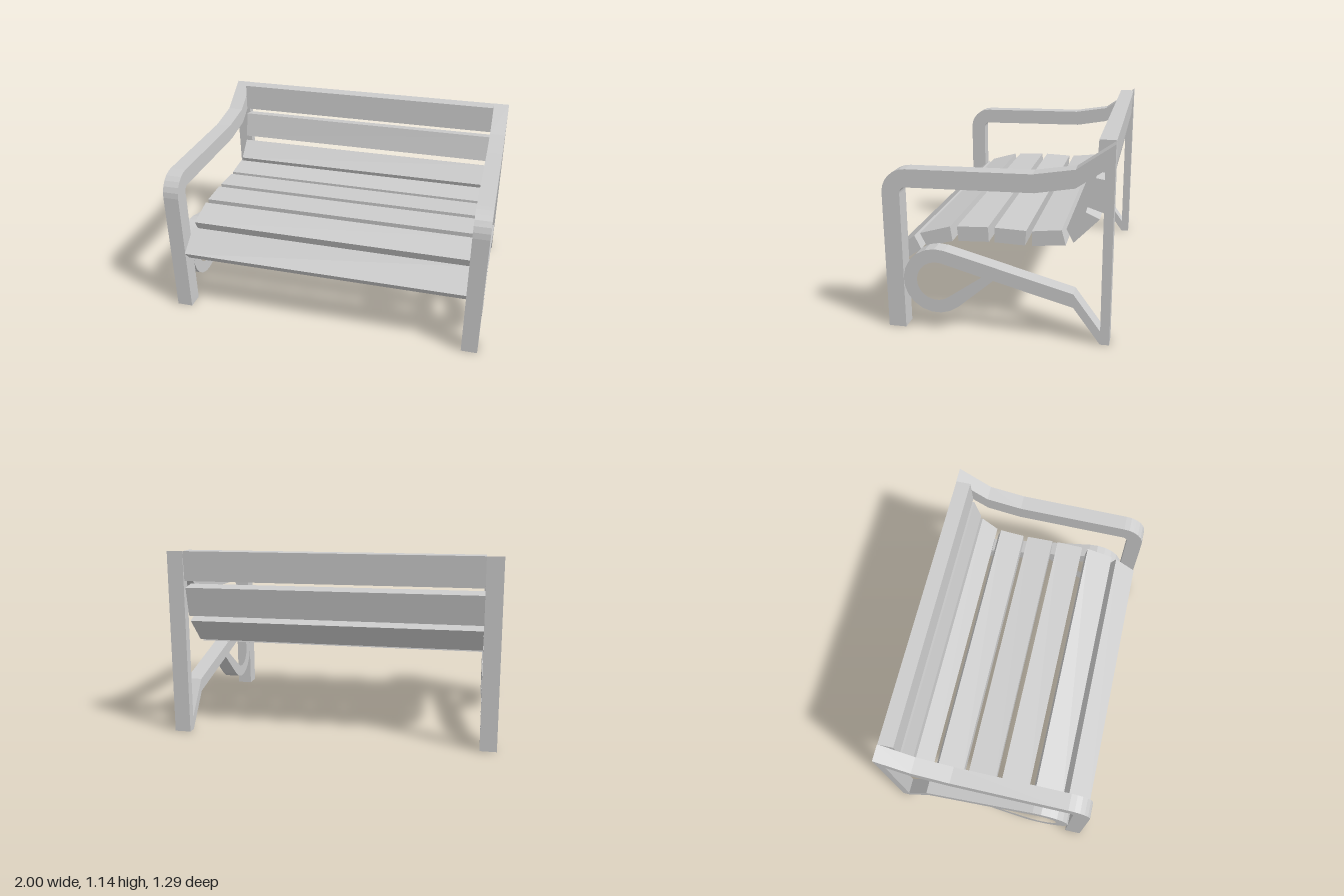
import * as THREE from 'three';

const material = new THREE.MeshStandardMaterial({ color: 0xcccccc, flatShading: true });
const SEAT_HALF = 0.9;   // inner face of the side frames
const FRAME_WIDTH = 0.1;

// Extrudes a (z, y) profile along x, starting at x0
function extrudeAcross(shape, x0, width, name, curveSegments = 4) {
  const geometry = new THREE.ExtrudeGeometry(shape, { depth: width, bevelEnabled: false, curveSegments });
  geometry.rotateY(-Math.PI / 2);
  geometry.translate(x0 + width, 0, 0);
  const mesh = new THREE.Mesh(geometry, material);
  mesh.name = name;
  return mesh;
}

const polygon = (points) => new THREE.Shape(points.map(([z, y]) => new THREE.Vector2(z, y)));

// Front leg, rounded corner, armrest and back post in one bent strip
function frameShape() {
  const s = new THREE.Shape();
  s.moveTo(0.64, 0);
  s.lineTo(0.64, 0.813);
  s.absarc(0.5, 0.813, 0.14, 0, Math.PI / 2, false);
  s.lineTo(-0.21, 0.96);
  s.lineTo(-0.44, 0.997);
  s.lineTo(-0.645, 1.14);
  s.lineTo(-0.645, 0);
  s.lineTo(-0.593, 0);
  s.lineTo(-0.593, 1.0);
  s.lineTo(-0.44, 0.895);
  s.lineTo(-0.22, 0.857);
  s.lineTo(0.5, 0.849);
  s.absarc(0.5, 0.813, 0.037, Math.PI / 2, 0, true);
  s.lineTo(0.537, 0);
  return s;
}

// Sloping brace that curls into a teardrop loop behind the front leg
function braceShape() {
  const cz = 0.343, cy = 0.303;
  const start = THREE.MathUtils.degToRad(104.7);
  const end = THREE.MathUtils.degToRad(-130);
  const s = new THREE.Shape();
  s.moveTo(-0.593, 0.08);
  s.lineTo(-0.44, 0.29);
  s.absarc(cz, cy, 0.194, start, end, true);
  s.lineTo(0.012, 0.332);
  s.lineTo(-0.44, 0.21);
  s.lineTo(-0.593, 0);
  const hole = new THREE.Path();
  hole.moveTo(0.078, 0.348);
  hole.absarc(cz, cy, 0.115, start, end, true);
  hole.lineTo(0.078, 0.348);
  s.holes.push(hole);
  return s;
}

// Slat cross-sections as (z, y) corners, from the front edge to the top of the back
const slats = [
  [[0.645, 0.418], [0.499, 0.532], [0.46, 0.453], [0.595, 0.358]],
  [[0.464, 0.55], [0.283, 0.602], [0.27, 0.515], [0.426, 0.473]],
  [[0.242, 0.605], [0.061, 0.612], [0.057, 0.525], [0.235, 0.518]],
  [[0.023, 0.612], [-0.158, 0.605], [-0.151, 0.518], [0.023, 0.525]],
  [[-0.19, 0.605], [-0.357, 0.623], [-0.381, 0.536], [-0.19, 0.518]],
  [[-0.384, 0.632], [-0.487, 0.735], [-0.565, 0.699], [-0.423, 0.553]],
  [[-0.497, 0.765], [-0.537, 0.93], [-0.622, 0.915], [-0.585, 0.735]],
  [[-0.541, 0.967], [-0.549, 1.141], [-0.643, 1.14], [-0.632, 0.958]],
];

export function createModel() {
  const bench = new THREE.Group();
  bench.name = 'bench';

  // Matching side frames
  for (const [side, x0] of [['left', SEAT_HALF], ['right', -SEAT_HALF - FRAME_WIDTH]]) {
    const group = new THREE.Group();
    group.name = side + 'SideFrame';
    group.add(extrudeAcross(frameShape(), x0, FRAME_WIDTH, side + 'LegsAndArmrest', 3));
    group.add(extrudeAcross(braceShape(), x0, FRAME_WIDTH, side + 'LoopBrace', 7));
    bench.add(group);
  }

  // Seat and back slats
  slats.forEach((corners, i) => {
    const name = i < 6 ? 'seatSlat' + (i + 1) : 'backSlat' + (i - 5);
    bench.add(extrudeAcross(polygon(corners), -SEAT_HALF, SEAT_HALF * 2, name));
  });

  return bench;
}
